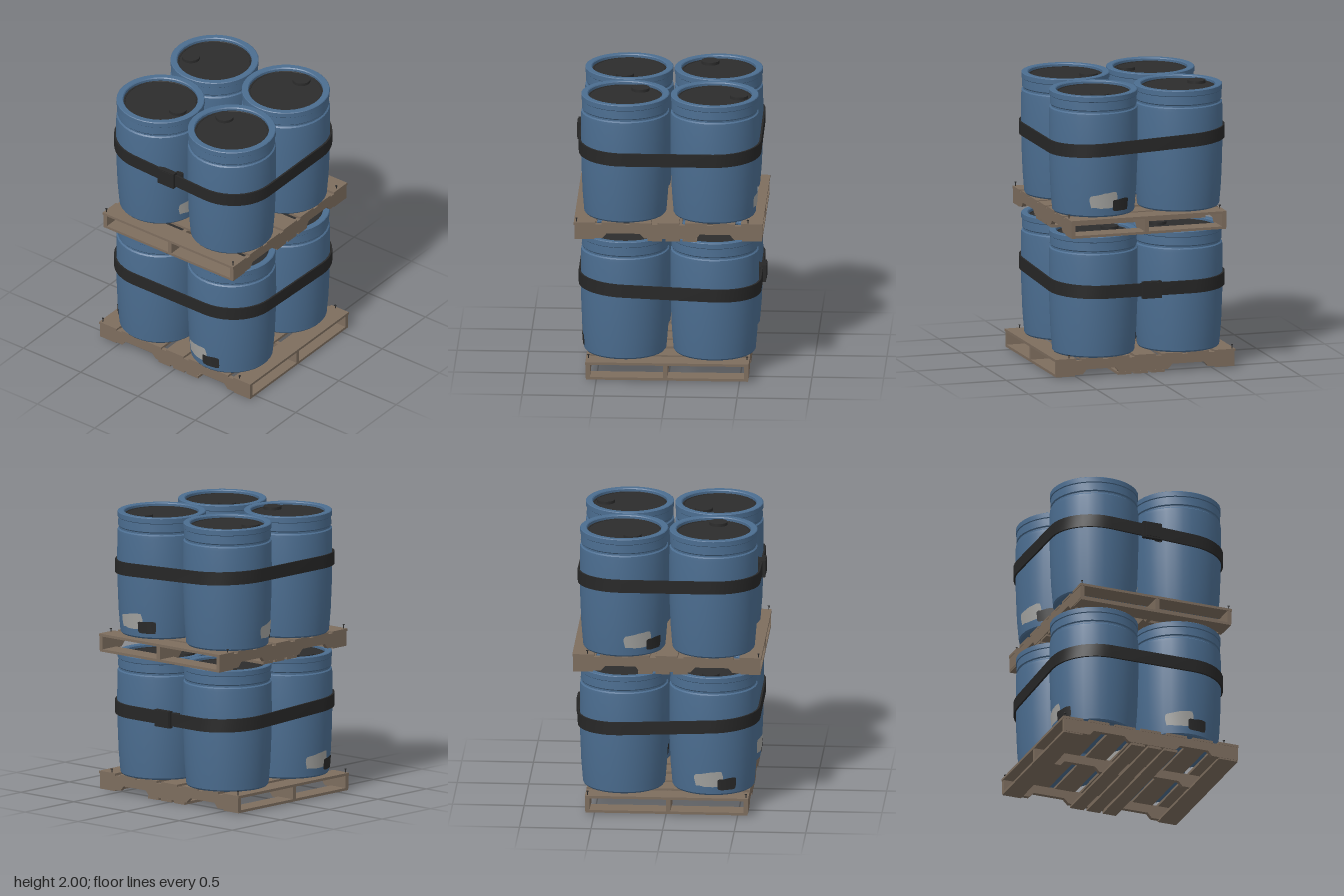
import * as THREE from 'three';
import { toCreasedNormals } from 'three/addons/utils/BufferGeometryUtils.js';

const material = (name, color, side = THREE.FrontSide) => {
  const m = new THREE.MeshStandardMaterial({ color, side });
  m.name = name;
  return m;
};

export function createModel() {
  const blue = material('blue plastic', 0x4b6d90);
  const wood = material('weathered wood', 0x7d6d5e);
  const black = material('black lid', 0x2c2c2c);
  const webbing = material('dark webbing', 0x272727);
  const paper = material('pale label', 0xa3a3a0, THREE.DoubleSide);
  const darkPaper = material('dark label', 0x2a2a2a, THREE.DoubleSide);

  const add = (parent, name, geometry, mat, x = 0, y = 0, z = 0) => {
    const mesh = new THREE.Mesh(geometry, mat);
    mesh.name = name;
    mesh.position.set(x, y, z);
    parent.add(mesh);
    return mesh;
  };
  const box = (parent, name, mat, w, h, d, x, y, z) =>
    add(parent, name, new THREE.BoxGeometry(w, h, d), mat, x, y, z);

  // Drum: radius and height of the shell, from the base over the rim to the recessed lid
  const profile = [
    [0, 0.137], [0.278, 0.137], [0.287, 0.148], [0.29, 0.18], [0.3, 0.3], [0.308, 0.5], [0.31, 0.65],
    [0.309, 0.85], [0.307, 0.872], [0.297, 0.88], [0.297, 0.892], [0.304, 0.9], [0.302, 0.957],
    [0.308, 0.962], [0.308, 0.996], [0.303, 1], [0.266, 1], [0.26, 0.994], [0.26, 0.97],
  ];
  const drumGeometry = toCreasedNormals(
    new THREE.LatheGeometry(profile.map(([r, y]) => new THREE.Vector2(r, y)), 32), 0.5);
  const radiusAt = (y) => {
    const i = profile.findIndex((p, k) => k > 2 && p[1] >= y);
    const [r0, y0] = profile[i - 1], [r1, y1] = profile[i];
    return r0 + (r1 - r0) * (y - y0) / (y1 - y0);
  };

  // Torn label wrapped on the shell; columns are [degrees, bottom, top]
  const labelGeometry = (columns, gap) => {
    const pos = [], index = [];
    columns.forEach(([deg, bottom, top], i) => {
      const a = THREE.MathUtils.degToRad(deg);
      for (const y of [bottom, top]) {
        const r = radiusAt(y) + gap;
        pos.push(Math.sin(a) * r, y, Math.cos(a) * r);
      }
      if (i) index.push(2 * i - 2, 2 * i, 2 * i - 1, 2 * i, 2 * i + 1, 2 * i - 1);
    });
    const g = new THREE.BufferGeometry();
    g.setAttribute('position', new THREE.Float32BufferAttribute(pos, 3));
    g.setIndex(index);
    g.computeVertexNormals();
    return g;
  };
  const paleLabel = labelGeometry([[-20, 0.25, 0.275], [-18, 0.205, 0.29], [-12, 0.207, 0.295], [-6, 0.2, 0.3],
    [0, 0.2, 0.308], [6, 0.2, 0.31], [12, 0.203, 0.315], [17, 0.21, 0.312], [19, 0.25, 0.28]], 0.004);
  const smallLabel = labelGeometry([[12, 0.19, 0.25], [14, 0.178, 0.258], [20, 0.175, 0.257],
    [26, 0.176, 0.262], [32, 0.175, 0.264], [37, 0.178, 0.26], [38, 0.2, 0.25]], 0.006);

  const makeDrum = (degrees) => {
    const g = new THREE.Group();
    g.name = 'drum';
    add(g, 'drumShell', drumGeometry, blue);
    add(g, 'lid', new THREE.CylinderGeometry(0.262, 0.262, 0.015, 32), black, 0, 0.969, 0);
    add(g, 'lidRidge', new THREE.TorusGeometry(0.25, 0.004, 6, 32), black, 0, 0.977, 0).rotation.x = Math.PI / 2;
    add(g, 'bung', new THREE.CylinderGeometry(0.063, 0.063, 0.022, 20), black, 0, 0.986, 0.17);
    add(g, 'paleLabel', paleLabel, paper);
    add(g, 'darkLabel', smallLabel, darkPaper);
    g.rotation.y = THREE.MathUtils.degToRad(degrees);
    return g;
  };

  // Pallet: notched stringers along x, deck boards along z
  const makePallet = () => {
    const g = new THREE.Group();
    g.name = 'pallet';
    const outline = new THREE.Shape([
      [-0.655, 0.02], [-0.46, 0.02], [-0.43, 0.055], [-0.2, 0.055], [-0.165, 0.02], [0.19, 0.02],
      [0.22, 0.055], [0.43, 0.055], [0.46, 0.02], [0.655, 0.02], [0.655, 0.12], [-0.655, 0.12],
    ].map(([x, y]) => new THREE.Vector2(x, y)));
    const stringer = new THREE.ExtrudeGeometry(outline, { depth: 0.03, bevelEnabled: false });
    for (const z of [-0.563, 0.002, 0.543]) add(g, 'stringer', stringer, wood, 0, 0, z);
    for (let i = -3; i <= 3; i++) {
      box(g, 'topBoard', wood, 0.152, 0.018, 1.14, i * 0.1945, 0.126 + (i % 2) * 0.002, 0.005);
    }
    for (const [x, w, y] of [[-0.585, 0.14, 0.019], [-0.095, 0.1, 0.01], [0.03, 0.1, 0.01],
      [0.15, 0.1, 0.01], [0.585, 0.14, 0.019]]) {
      box(g, 'bottomBoard', wood, w, 0.018, 1.13, x, y, 0.005);
    }
    // Loose nails at the corners
    for (const x of [-0.64, 0.555]) for (const z of [-0.548, 0.558]) {
      add(g, 'nail', new THREE.CylinderGeometry(0.004, 0.003, 0.03, 6), black, x, 0.145, z);
      add(g, 'nailHead', new THREE.CylinderGeometry(0.008, 0.008, 0.004, 8), black, x, 0.16, z);
    }
    return g;
  };

  const left = 0.3, right = -0.322, deep = 0.312;

  // Flat strap swept round the four drums, tilted by slopeX and slopeZ
  const strapGeometry = (slopeX, slopeZ) => {
    const pos = [], index = [], steps = 10;
    const corners = [[left, deep], [left, -deep], [right, -deep], [right, deep]];
    corners.forEach(([cx, cz], q) => {
      for (let s = 0; s <= steps; s++) {
        const a = (q + s / steps) * Math.PI / 2;
        for (const [r, h] of [[0.312, -0.046], [0.325, -0.046], [0.325, 0.046], [0.312, 0.046]]) {
          const x = cx + Math.sin(a) * r, z = cz + Math.cos(a) * r;
          pos.push(x, 0.635 + slopeX * x + slopeZ * z + h, z);
        }
      }
    });
    const rings = pos.length / 12;
    for (let i = 0; i < rings; i++) for (let k = 0; k < 4; k++) {
      const j = (i + 1) % rings, m = (k + 1) % 4;
      const a = i * 4 + k, b = j * 4 + k, c = j * 4 + m, d = i * 4 + m;
      index.push(a, b, c, a, c, d);
    }
    const g = new THREE.BufferGeometry();
    g.setAttribute('position', new THREE.Float32BufferAttribute(pos, 3));
    g.setIndex(index);
    return toCreasedNormals(g, 0.6);
  };

  // Buckle on the strap, with the loose strap end curled between the drums
  const makeBuckle = () => {
    const g = new THREE.Group();
    g.name = 'buckle';
    box(g, 'buckleBody', webbing, 0.14, 0.12, 0.03, 0, 0, 0.642);
    box(g, 'buckleLever', webbing, 0.11, 0.1, 0.012, 0.005, 0.003, 0.655);
    box(g, 'buckleBack', webbing, 0.12, 0.09, 0.03, 0, 0, 0.615);
    const curl = new THREE.CatmullRomCurve3([[0.04, 0.61], [0.08, 0.605], [0.095, 0.59], [0.085, 0.575], [0.045, 0.58]]
      .map(([x, z]) => new THREE.Vector3(x, 0, z)));
    const points = curl.getPoints(14);
    const edge = (s) => points.map((p) => new THREE.Vector2(p.x + s * 0.004, -p.z + s * 0.005));
    const tail = new THREE.ExtrudeGeometry(new THREE.Shape([...edge(1), ...edge(-1).reverse()]),
      { depth: 0.08, bevelEnabled: false });
    add(g, 'looseStrapEnd', tail, webbing, 0, -0.04, 0).rotation.x = -Math.PI / 2;
    return g;
  };

  const makeLayer = (name, y, turn, angles, slopeX, slopeZ, buckleTurn) => {
    const g = new THREE.Group();
    g.name = name;
    g.position.y = y;
    const pallet = makePallet();
    pallet.rotation.y = turn;
    g.add(pallet);
    [[left, deep], [right, deep], [left, -deep], [right, -deep]].forEach(([x, z], i) => {
      const drum = makeDrum(angles[i]);
      drum.position.set(x, 0, z);
      g.add(drum);
    });
    add(g, 'strap', strapGeometry(slopeX, slopeZ), webbing);
    const buckle = makeBuckle();
    buckle.rotation.y = buckleTurn;
    buckle.position.set(-0.02, 0.635 + slopeZ * 0.64 * Math.cos(buckleTurn), 0);
    g.add(buckle);
    return g;
  };

  const model = new THREE.Group();
  model.name = 'stackedDrumPallets';
  model.add(makeLayer('lowerLayer', 0, 0, [-18, -93, 300, 40], 0, 0.04, Math.PI));
  model.add(makeLayer('upperLayer', 1, Math.PI / 2, [234, 82, 177, 293], -0.045, 0, 0));
  return model;
}
